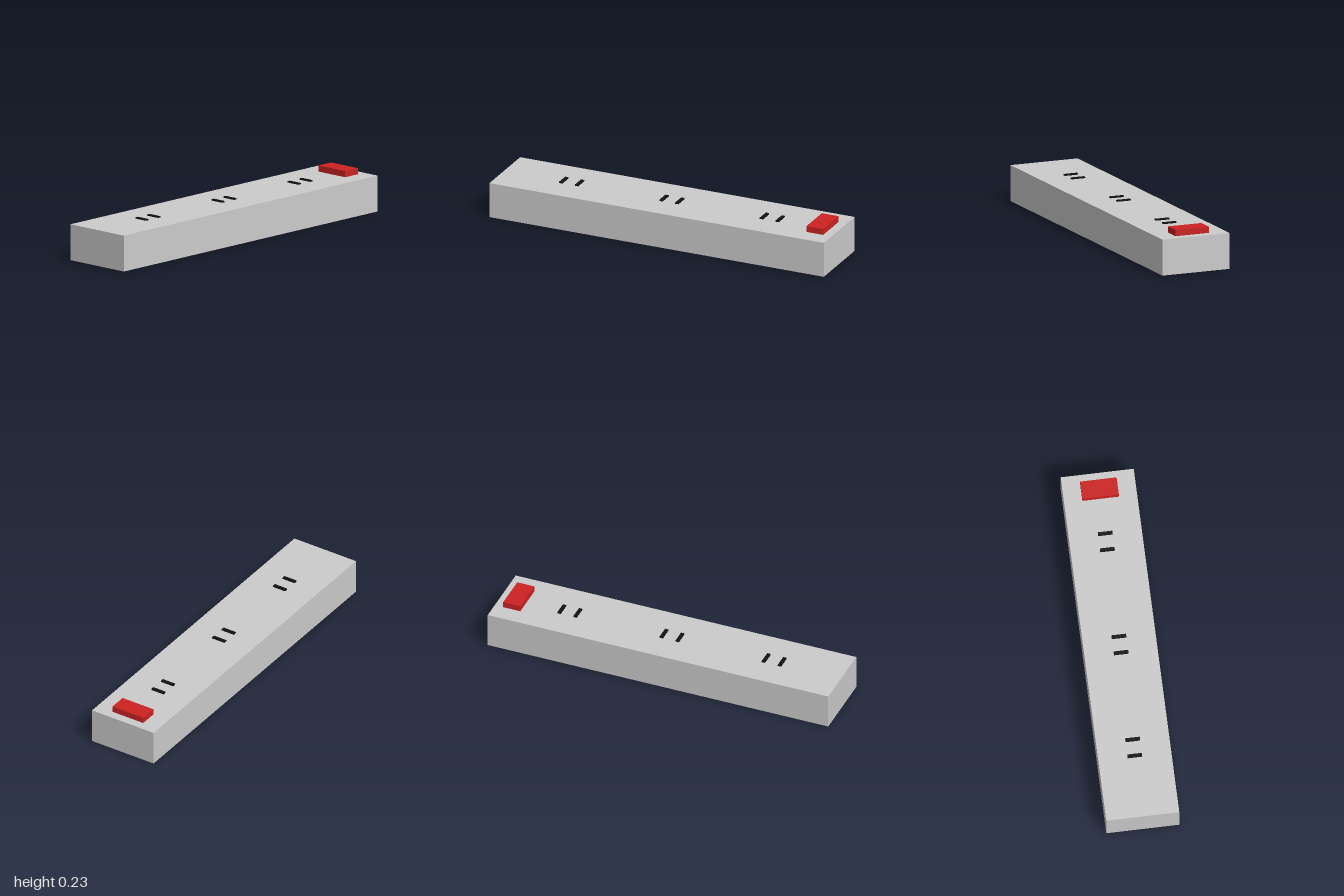
import * as THREE from 'three';

const grey = new THREE.MeshStandardMaterial({ color: 0xcccccc });
const red = new THREE.MeshStandardMaterial({ color: 0xcc2222 });
const black = new THREE.MeshStandardMaterial({ color: 0x111111 });

// Box standing on height y
function box(name, material, [w, h, d], [x, y, z]) {
  const mesh = new THREE.Mesh(new THREE.BoxGeometry(w, h, d), material);
  mesh.name = name;
  mesh.position.set(x, y + h / 2, z);
  return mesh;
}

export function createModel() {
  const model = new THREE.Group();
  model.name = 'powerStrip';
  const top = 0.2;

  // Long housing
  model.add(box('housing', grey, [2, top, 0.4], [0, 0, 0]));

  // Three outlets, each a pair of slots slightly proud of the top
  for (const x of [-0.6, 0, 0.6]) {
    const outlet = new THREE.Group();
    outlet.name = 'outlet';
    outlet.position.set(x, top, 0);
    for (const side of [-1, 1]) {
      outlet.add(box('outletSlot', black, [0.02, 0.014, 0.08], [side * 0.047, -0.007, 0]));
    }
    model.add(outlet);
  }

  // Power switch at the left end
  model.add(box('powerSwitch', red, [0.1, 0.034, 0.2], [0.9, top, 0]));

  return model;
}
